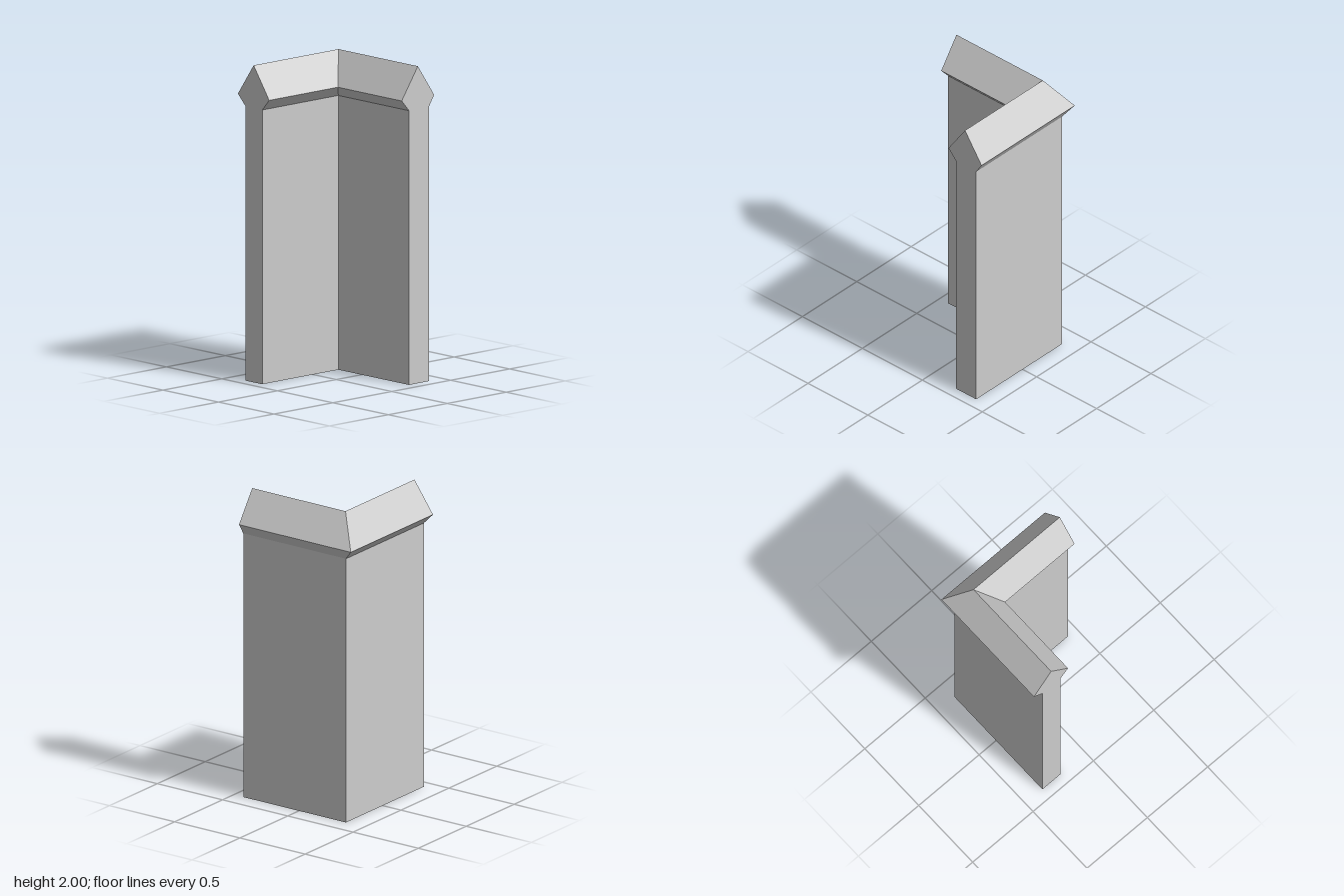
import * as THREE from 'three';

// Sweeps a convex profile along an L: from the -x end, round the mitred corner, to the +z end.
// Each profile point is [x on the side leg, z on the back leg, y], ordered outside, up, inside.
// The edge leaving point `openEdge` is left out, where two parts join.
function cornerSweep(profile, openEdge) {
  const backEnd = profile.map(([, z, y]) => [-0.43, y, z]);
  const corner = profile.map(([x, z, y]) => [x, y, z]);
  const sideEnd = profile.map(([x, , y]) => [x, y, 0.427]);
  const n = profile.length;
  const pos = [];
  const tri = (a, b, c) => pos.push(...a, ...b, ...c);
  for (const [p, q] of [[backEnd, corner], [corner, sideEnd]]) {
    for (let i = 0; i < n; i++) {
      if (i === openEdge) continue;
      const j = (i + 1) % n;
      tri(p[i], p[j], q[j]);
      tri(p[i], q[j], q[i]);
    }
  }
  // End faces
  for (let i = 1; i < n - 1; i++) {
    tri(backEnd[0], backEnd[i + 1], backEnd[i]);
    tri(sideEnd[0], sideEnd[i], sideEnd[i + 1]);
  }
  const geometry = new THREE.BufferGeometry();
  geometry.setAttribute('position', new THREE.Float32BufferAttribute(pos, 3));
  geometry.computeVertexNormals();
  return geometry;
}

export function createModel() {
  const group = new THREE.Group();
  group.name = 'cornerWall';
  const stone = new THREE.MeshStandardMaterial({ color: 0xcccccc, flatShading: true });
  stone.name = 'light grey stone';

  const add = (name, profile, openEdge) => {
    const mesh = new THREE.Mesh(cornerSweep(profile, openEdge), stone);
    mesh.name = name;
    group.add(mesh);
  };

  // Upright wall, open at the top where the coping sits
  add('wall', [
    [0.383, -0.36, 0], [0.383, -0.36, 1.73],
    [0.215, -0.21, 1.73], [0.215, -0.21, 0],
  ], 1);

  // Ridged coping with overhanging eaves, open underneath where it meets the wall
  add('coping', [
    [0.383, -0.36, 1.73], [0.428, -0.43, 1.8], [0.29, -0.288, 2],
    [0.153, -0.148, 1.8], [0.215, -0.21, 1.73],
  ], 4);

  return group;
}
